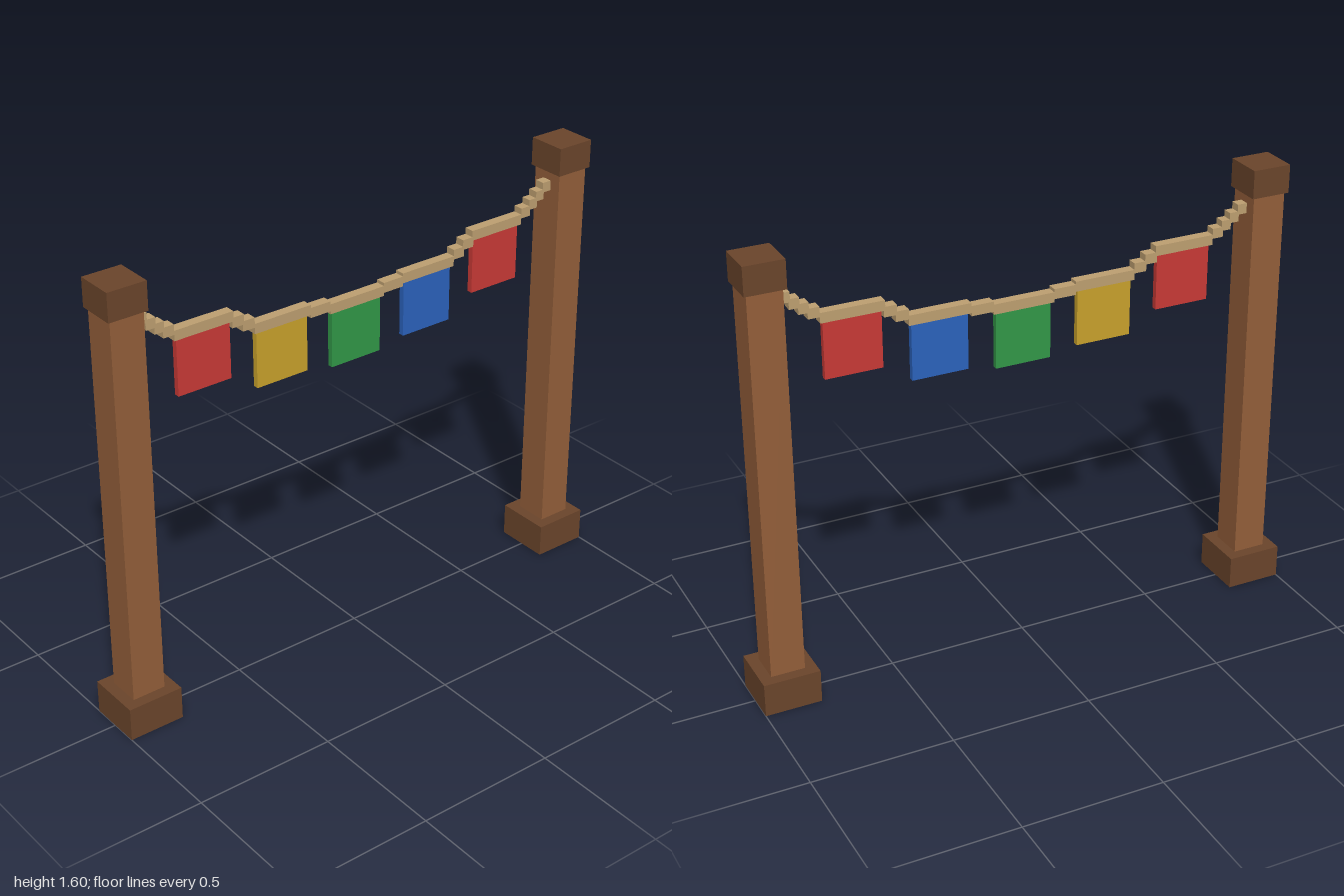
import * as THREE from 'three';

export function createModel() {
  const model = new THREE.Group();
  model.name = 'flagBunting';

  const mat = (name, color) => {
    const m = new THREE.MeshStandardMaterial({ color });
    m.name = name;
    return m;
  };
  const wood = mat('wood', 0x945f3a);
  const darkWood = mat('darkWood', 0x6b452b);
  const rope = mat('rope', 0xbea071);
  const red = mat('red', 0xc93a36);
  const yellow = mat('yellow', 0xc9a22c);
  const green = mat('green', 0x329848);
  const blue = mat('blue', 0x2b63bd);

  const box = (parent, name, material, w, h, d, x, y, z = 0) => {
    const mesh = new THREE.Mesh(new THREE.BoxGeometry(w, h, d), material);
    mesh.name = name;
    mesh.position.set(x, y, z);
    parent.add(mesh);
  };

  // Posts with base block and cap
  for (const side of [-1, 1]) {
    const post = new THREE.Group();
    post.name = side > 0 ? 'leftPost' : 'rightPost';
    post.position.x = side * 0.9;
    box(post, 'base', darkWood, 0.2, 0.12, 0.2, 0, 0.06);
    box(post, 'shaft', wood, 0.12, 1.38, 0.12, 0, 0.81);
    box(post, 'cap', darkWood, 0.14, 0.1, 0.14, 0, 1.55);
    model.add(post);
  }

  // Sagging rope of stepped blocks, mirrored about the middle: [x start, x end, y centre]
  const thick = 0.036;
  const steps = [
    [0.11, 0.19, 1.276],
    [0.19, 0.41, 1.287],
    [0.41, 0.455, 1.31],
    [0.45, 0.495, 1.334],
    [0.49, 0.71, 1.357],
    [0.71, 0.75, 1.379],
    [0.745, 0.78, 1.401],
    [0.775, 0.81, 1.424],
    [0.805, 0.842, 1.449],
  ];
  box(model, 'ropeMiddle', rope, 0.22, thick, thick, 0, 1.265);
  for (const side of [-1, 1]) {
    for (const [a, b, y] of steps) {
      box(model, 'ropeSegment', rope, b - a, thick, thick, side * (a + b) / 2, y);
    }
  }

  // Square flags hanging under the flat rope segments: [x, top y, material]
  const flags = [
    [-0.6, 1.339, red],
    [-0.3, 1.269, yellow],
    [0, 1.247, green],
    [0.3, 1.269, blue],
    [0.6, 1.339, red],
  ];
  for (const [x, top, material] of flags) {
    box(model, 'flag', material, 0.2, 0.2, 0.02, x, top - 0.1);
  }

  return model;
}
